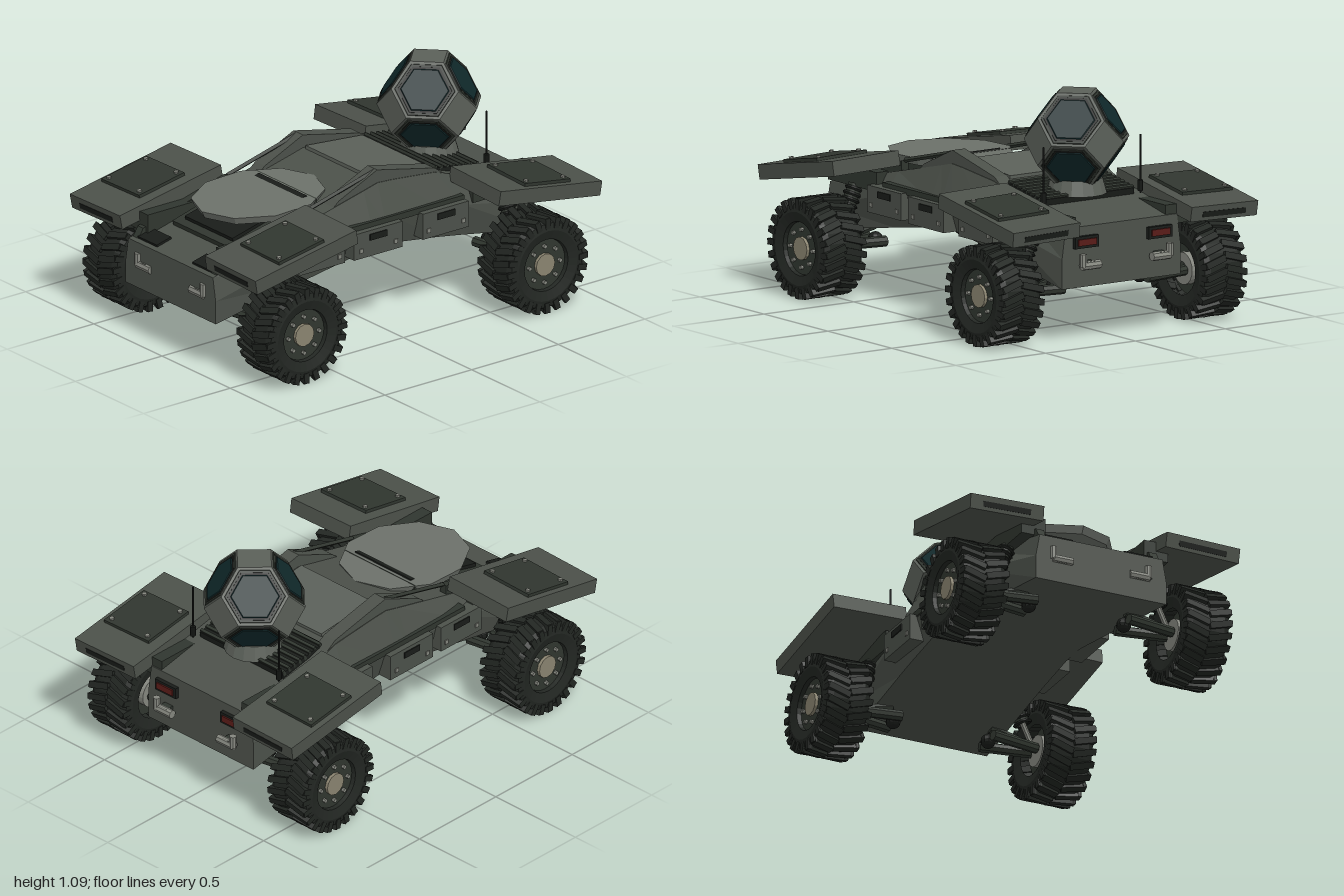
import * as THREE from 'three';
import { ConvexGeometry } from 'three/addons/geometries/ConvexGeometry.js';

const mat = (color, extra = {}) => new THREE.MeshStandardMaterial({ color, flatShading: true, ...extra });
const M = {
  body: mat(0x4c514a), panel: mat(0x5b6059), light: mat(0x6c716a), dark: mat(0x30362f),
  black: mat(0x191c19), tyre: mat(0x222622), glass: mat(0x10292b), metal: mat(0x85877f),
  hub: mat(0x8a8470), red: mat(0x5a1c18),
};
const V = (x, y, z) => new THREE.Vector3(x, y, z);

function add(parent, name, geo, material, x = 0, y = 0, z = 0, rx = 0, ry = 0, rz = 0) {
  const m = new THREE.Mesh(geo, material);
  m.name = name;
  m.position.set(x, y, z);
  m.rotation.set(rx, ry, rz);
  parent.add(m);
  return m;
}
const box = (w, h, d) => new THREE.BoxGeometry(w, h, d);
const cyl = (r, h, n = 10, r2 = r) => new THREE.CylinderGeometry(r, r2, h, n);

// Cylinder between two points
function rod(parent, name, a, b, r, material, n = 8) {
  const d = b.clone().sub(a);
  const m = add(parent, name, cyl(r, d.length(), n), material);
  m.position.copy(a).addScaledVector(d, 0.5);
  m.quaternion.setFromUnitVectors(V(0, 1, 0), d.normalize());
  return m;
}

// Hull skinned through six-sided cross-sections, front to back
function hullGeometry() {
  const stations = [ // z, bottom y, middle y, top y, middle half width
    [0.95, 0.25, 0.36, 0.47, 0.33], [0.42, 0.34, 0.5, 0.6, 0.37], [0.08, 0.395, 0.52, 0.68, 0.37],
    [0, 0.4, 0.52, 0.7, 0.37], [-0.08, 0.395, 0.52, 0.695, 0.37], [-0.33, 0.36, 0.51, 0.67, 0.37],
    [-0.45, 0.34, 0.5, 0.63, 0.37], [-0.89, 0.26, 0.4, 0.54, 0.33],
  ];
  const rings = stations.map(([z, b, m, t, w]) => [
    [-0.33, b, z], [0.33, b, z], [w, m, z], [0.31, t, z], [-0.31, t, z], [-w, m, z]]);
  const p = [];
  const tri = (...pts) => pts.forEach((q) => p.push(...q));
  for (let i = 0; i < rings.length - 1; i++) for (let j = 0; j < 6; j++) {
    const k = (j + 1) % 6, a = rings[i], c = rings[i + 1];
    tri(a[j], c[j], a[k]);
    tri(a[k], c[j], c[k]);
  }
  const last = rings[rings.length - 1];
  for (let k = 1; k < 5; k++) {
    tri(rings[0][0], rings[0][k], rings[0][k + 1]);
    tri(last[0], last[k + 1], last[k]);
  }
  const g = new THREE.BufferGeometry();
  g.setAttribute('position', new THREE.Float32BufferAttribute(p, 3));
  g.computeVertexNormals();
  return g;
}

// Side profile (z, y) extruded across x
function profile(points, width) {
  const s = new THREE.Shape(points.map(([z, y]) => new THREE.Vector2(-z, y)));
  const g = new THREE.ExtrudeGeometry(s, { depth: width, bevelEnabled: false });
  g.translate(0, 0, -width / 2);
  return g.rotateY(Math.PI / 2);
}

// Wheel with its outer face towards +x
function wheel() {
  const g = new THREE.Group();
  g.name = 'wheel';
  const pts = [[0.12, -0.1], [0.17, -0.113], [0.205, -0.105], [0.218, -0.08], [0.218, 0.08], [0.205, 0.105],
    [0.17, 0.113], [0.125, 0.1], [0.12, 0.07]].map(([r, x]) => new THREE.Vector2(r, x));
  add(g, 'tyre', new THREE.LatheGeometry(pts, 28), mat(0x222622, { side: THREE.DoubleSide }), 0, 0, 0, 0, 0, -Math.PI / 2);
  const n = 24;
  for (let i = 0; i < n; i++) for (const s of [-1, 1]) {
    const lug = new THREE.Group();
    lug.name = 'treadLug';
    lug.rotation.x = ((i + (s > 0 ? 0.25 : 0)) / n) * Math.PI * 2;
    add(lug, 'lug', box(0.112, 0.026, 0.03), M.tyre, s * 0.055, 0.219, 0, 0, s * 0.28, 0);
    add(lug, 'shoulderLug', box(0.018, 0.05, 0.028), M.tyre, s * 0.104, 0.205, 0.015 * -1);
    g.add(lug);
  }
  const disc = (name, r, h, m, x, k = 20) => add(g, name, cyl(r, h, k), m, x, 0, 0, 0, 0, -Math.PI / 2);
  disc('rim', 0.125, 0.13, M.dark, 0.015);
  disc('innerHub', 0.075, 0.05, M.metal, -0.06);
  disc('hubCap', 0.054, 0.03, M.hub, 0.08, 12);
  for (let i = 0; i < 8; i++) {
    const a = (i / 8) * Math.PI * 2;
    add(g, 'wheelBolt', cyl(0.01, 0.02, 6), M.metal, 0.085, Math.sin(a) * 0.088, Math.cos(a) * 0.088, 0, 0, Math.PI / 2);
  }
  return g;
}

// One wheel station (left side): wheel, arms, damper and sloping fender
function corner(zs) {
  const g = new THREE.Group();
  g.name = zs > 0 ? 'frontCorner' : 'rearCorner';
  const w = wheel();
  w.position.set(0.565, 0.237, zs * 0.695);
  g.add(w);
  const z = zs * 0.695;
  rod(g, 'axle', V(0.25, 0.3, z), V(0.52, 0.237, z), 0.022, M.dark);
  for (const dz of [-0.07, 0.07]) rod(g, 'suspensionArm', V(0.23, 0.235, z + dz), V(0.47, 0.235, z + dz * 0.4), 0.025, M.dark);
  add(g, 'armJoint', new THREE.SphereGeometry(0.035, 10, 8), M.black, 0.24, 0.235, z);
  const a = V(0.46, 0.26, z), b = V(0.35, 0.5, z);
  rod(g, 'damperRod', a, b, 0.014, M.metal);
  rod(g, 'damperBody', a.clone().lerp(b, 0.42), b, 0.034, M.dark, 12);
  for (let i = 0; i < 6; i++) {
    const c = add(g, 'damperCoil', new THREE.TorusGeometry(0.037, 0.009, 5, 12), M.black);
    c.position.copy(a).lerp(b, 0.42 + i * 0.1);
    c.quaternion.setFromUnitVectors(V(0, 0, 1), b.clone().sub(a).normalize());
  }
  add(g, 'fenderBracket', box(0.12, 0.09, 0.38), M.dark, 0.31, 0.54, z);

  const f = new THREE.Group();
  f.name = 'fender';
  f.position.set(0.495, zs > 0 ? 0.604 : 0.593, zs > 0 ? 0.7 : -0.708);
  f.rotation.set(zs > 0 ? 0.18 : -0.155, 0, -0.025);
  add(f, 'fenderSlab', box(0.37, 0.07, 0.592), M.body);
  add(f, 'endSlot', box(0.24, 0.026, 0.006), M.black, 0, -0.005, zs * 0.295);
  add(f, 'hatch', box(0.28, 0.018, 0.265), M.dark, 0.015, 0.041, 0);
  for (const sx of [-1, 1]) for (const sz of [-1, 1])
    add(f, 'hatchBolt', cyl(0.011, 0.012, 8), M.metal, 0.015 + sx * 0.112, 0.053, sz * 0.108);
  g.add(f);
  return g;
}

// Everything that is mirrored across x
function side() {
  const g = new THREE.Group();
  g.name = 'side';
  g.add(corner(1), corner(-1));
  add(g, 'sideRail', profile([[0, 0.762], [-0.33, 0.69], [-0.46, 0.6], [0.3, 0.6], [0.22, 0.665]], 0.07), M.body, 0.272);
  rod(g, 'railBar', V(0.285, 0.65, 0.4), V(0.285, 0.75, 0), 0.011, M.dark, 4);
  add(g, 'frontRail', profile([[0.93, 0.47], [0.4, 0.59], [0.4, 0.65], [0.9, 0.52]], 0.04), M.dark, 0.285);
  // Stowage boxes with recessed handles
  for (const [z, y] of [[0.395, 0.467], [0.07, 0.463], [-0.32, 0.467]]) {
    add(g, 'stowageBox', box(0.1, 0.125, z > 0.3 || z < 0 ? 0.265 : 0.28), M.body, 0.355, y, z);
    add(g, 'boxHandle', box(0.012, 0.03, 0.1), M.black, 0.404, y + 0.03, z);
    for (const s of [-1, 1]) add(g, 'boxLatch', box(0.012, 0.02, 0.02), M.metal, 0.404, y - 0.025, z + s * 0.1);
  }
  add(g, 'sillPlate', box(0.05, 0.03, 0.9), M.dark, 0.35, 0.535, 0);
  // Angled lamps at both ends, with rear lights
  for (const [z, s] of [[0.945, 1], [-0.925, -1]]) {
    rod(g, 'lampArm', V(0.145, 0.365, z), V(0.245, 0.365, z), 0.021, M.metal);
    rod(g, 'lampStem', V(0.24, 0.36, z + s * 0.005), V(0.24, 0.42, z + s * 0.005), 0.017, M.metal);
    add(g, 'lampMount', box(0.05, 0.035, 0.06), M.dark, 0.2, 0.365, z - s * 0.02);
  }
  add(g, 'rearLightHousing', box(0.13, 0.055, 0.03), M.black, 0.205, 0.47, -0.895);
  add(g, 'rearLight', box(0.1, 0.03, 0.01), M.red, 0.205, 0.47, -0.912);
  add(g, 'noseVent', box(0.14, 0.014, 0.085), M.black, 0.2, 0.49, 0.885, 0.24);
  add(g, 'antennaBase', cyl(0.013, 0.05, 8), M.black, 0.27, 0.64, -0.66);
  add(g, 'antenna', cyl(0.004, 0.27, 6), M.black, 0.27, 0.74, -0.66);
  return g;
}

// Faceted sensor dome: truncated octahedron with eight framed windows
function dome() {
  const g = new THREE.Group();
  g.name = 'sensorDome';
  g.position.set(0, 0.873, -0.54);
  const u = 0.1085, signs = [-1, 1], shell = [];
  const perms = [[0, 1, 2], [1, 0, 2], [2, 0, 1], [2, 1, 0], [1, 2, 0], [0, 2, 1]];
  for (const sx of signs) for (const sy of signs) for (const sz of signs) {
    const c = V(sx, sy, sz).multiplyScalar(u);
    const face = perms.map(([x, y, z]) => V(x * sx, y * sy, z * sz).multiplyScalar(u));
    shell.push(...face);
    const inset = (k, lift) => face.map((v) => c.clone().lerp(v, k).addScaledVector(c, lift));
    add(g, 'windowFrame', new ConvexGeometry([...inset(0.93, -0.03), ...inset(0.89, 0.02)]), M.dark);
    add(g, 'windowSeal', new ConvexGeometry([...inset(0.83, 0), ...inset(0.81, 0.025)]), M.black);
    add(g, 'window', new ConvexGeometry([...inset(0.77, 0), ...inset(0.7, 0.045)]), M.glass);
  }
  add(g, 'domeShell', new ConvexGeometry(shell), M.panel);
  return g;
}

export function createModel() {
  const root = new THREE.Group();
  root.name = 'armouredBuggy';
  add(root, 'hull', hullGeometry(), M.body);
  const left = side(), right = side();
  left.name = 'leftSide';
  right.name = 'rightSide';
  right.scale.x = -1;
  root.add(left, right);

  // Deck panels and faceted canopy over its dark frame
  add(root, 'roofPanel', box(0.44, 0.02, 0.33), M.panel, 0, 0.691, -0.165, -0.09);
  add(root, 'noseFrame', box(0.44, 0.04, 0.5), M.dark, 0, 0.584, 0.52, 0.26);
  add(root, 'noseFrameInner', box(0.35, 0.06, 0.44), M.black, 0, 0.59, 0.51, 0.24);
  const canopy = add(root, 'canopy', cyl(1, 0.035, 10, 0.95), M.light, 0, 0.644, 0.445, 0.03);
  canopy.scale.set(0.273, 1, 0.325);

  // Grille and pedestal under the dome
  add(root, 'grilleBed', box(0.52, 0.04, 0.27), M.black, 0, 0.625, -0.49, -0.16);
  for (let i = 0; i < 8; i++)
    add(root, 'grilleSlat', box(0.52, 0.03, 0.014), M.dark, 0, 0.66 - i * 0.0055, -0.375 - i * 0.034, -0.4);
  add(root, 'domePedestal', cyl(0.12, 0.07, 16, 0.14), M.panel, 0, 0.655, -0.54);
  root.add(dome());
  return root;
}
